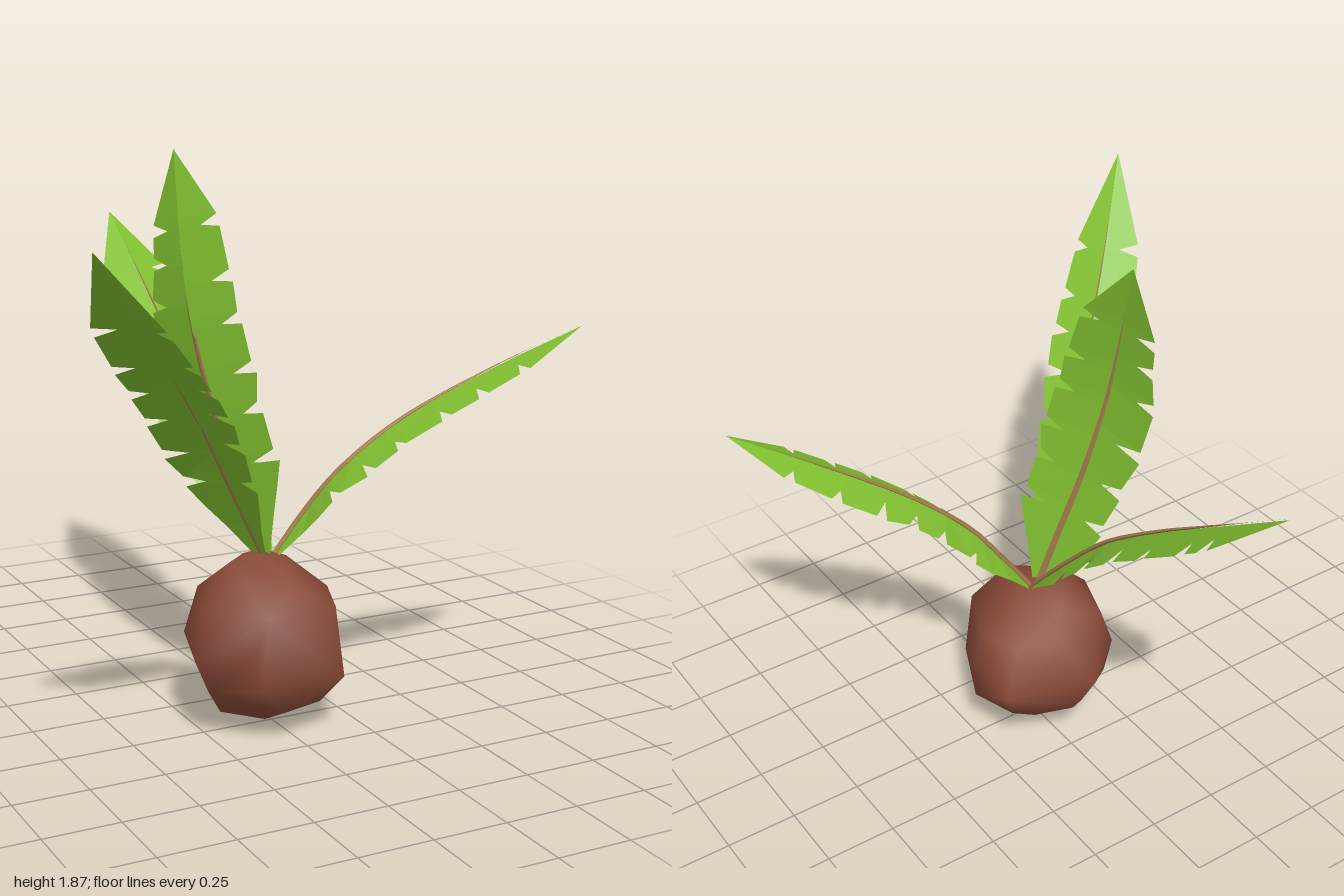
import * as THREE from 'three';
import { ConvexGeometry } from 'three/addons/geometries/ConvexGeometry.js';
import { mergeVertices } from 'three/addons/utils/BufferGeometryUtils.js';

const green = new THREE.MeshStandardMaterial({ color: 0x80be30, side: THREE.DoubleSide });
green.name = 'leaf green';
const brown = new THREE.MeshStandardMaterial({ color: 0x8a4a38 });
brown.name = 'husk brown';
const tan = new THREE.MeshStandardMaterial({ color: 0xa8804e });
tan.name = 'rib tan';

// Half width of a leaf along its length (0 = root, 1 = tip)
const PROFILE = [[0, 0.015], [0.1, 0.065], [0.2, 0.118], [0.32, 0.135], [0.6, 0.138], [0.82, 0.11], [1, 0]];
function halfWidth(t) {
  const i = Math.max(1, PROFILE.findIndex(([u]) => u >= t));
  const [t0, w0] = PROFILE[i - 1], [t1, w1] = PROFILE[i];
  return THREE.MathUtils.lerp(w0, w1, (t - t0) / (t1 - t0));
}

// Torn outline of one half: lobes separated by slanted notches, then a pointed tip
function halfOutline(rand) {
  const points = [[0, 0.015], [0.1, 0.065]];
  let t = 0.17;
  points.push([t, halfWidth(t)]);
  while (t < 0.78) {
    const next = t > 0.68 ? 0.82 : t + 0.07 + rand() * 0.06;
    const wide = 0.94 + rand() * 0.14;
    points.push([next - 0.014, halfWidth(next) * wide]);
    points.push([next - 0.006, halfWidth(next) * (0.4 + rand() * 0.25)]);
    points.push([next + 0.016, halfWidth(next) * wide * 0.95]);
    t = next + 0.016;
  }
  points.push([1, 0]);
  return points;
}

function seeded(seed) {
  return () => {
    seed = (seed * 16807) % 2147483647;
    return seed / 2147483647;
  };
}

// Roof-shaped blade: two notched halves that droop from the rib
function bladeGeometry(curve, up, scale, droop, seed) {
  const rand = seeded(seed);
  const position = [];
  const at = (t, w, side) => {
    const p = curve.getPointAt(t), tangent = curve.getTangentAt(t);
    const across = new THREE.Vector3().crossVectors(tangent, up).normalize();
    const normal = new THREE.Vector3().crossVectors(across, tangent);
    return p.addScaledVector(across, side * w * scale).addScaledVector(normal, -droop * w * scale);
  };
  for (const side of [1, -1]) {
    const outline = halfOutline(rand);
    for (let i = 1; i < outline.length; i++) {
      const [t0, w0] = outline[i - 1], [t1, w1] = outline[i];
      const r0 = at(t0, 0, side), r1 = at(t1, 0, side);
      const e0 = at(t0, w0, side), e1 = at(t1, w1, side);
      const corners = side > 0 ? [r0, e0, r1, r1, e0, e1] : [r0, r1, e0, r1, e1, e0];
      for (const c of corners) position.push(c.x, c.y, c.z);
    }
  }
  const g = new THREE.BufferGeometry();
  g.setAttribute('position', new THREE.Float32BufferAttribute(position, 3));
  g.computeVertexNormals();
  return g;
}

// Four-sided rib, narrowing to a point before the leaf tip
function ribGeometry(curve, radius) {
  const n = 20, sides = 4;
  const g = new THREE.TubeGeometry(curve, n, radius, sides);
  const pos = g.attributes.position, v = new THREE.Vector3();
  for (let i = 0; i < pos.count; i++) {
    const u = Math.floor(i / (sides + 1)) / n;
    const centre = curve.getPointAt(u);
    v.fromBufferAttribute(pos, i).sub(centre).multiplyScalar(Math.max(0.01, 1 - 1.3 * u * u)).add(centre);
    pos.setXYZ(i, v.x, v.y, v.z);
  }
  g.computeVertexNormals();
  return g;
}

// Rib path, upper-side direction, width scale, droop of the halves,
// rib radius and rib shift off the fold
const LEAVES = [
  { name: 'frontRightLeaf', up: [0, 1, 0], scale: 1.04, droop: 0.32, radius: 0.01, shift: [0.002, 0.003, -0.002], seed: 11,
    path: [[-0.03, 0.56, 0.25], [-0.18, 0.81, 0.33], [-0.32, 1.03, 0.43], [-0.5, 1.25, 0.6], [-0.7, 1.46, 0.79], [-0.91, 1.7, 1]] },
  { name: 'backLeaf', up: [0, 1, 0], scale: 1.15, droop: 0.27, radius: 0.01, shift: [0, 0.003, 0.003], seed: 202,
    path: [[-0.01, 0.56, 0.25], [-0.03, 0.78, 0.05], [-0.05, 0.96, -0.13], [-0.055, 1.17, -0.41], [-0.05, 1.3, -0.6], [-0.04, 1.57, -1]] },
  { name: 'leftLeaf', up: [0, 1, 0], scale: 0.9, droop: 0.32, radius: 0.01, shift: [-0.002, 0.004, 0], seed: 3003,
    path: [[0, 0.56, 0.25], [0.1, 0.71, 0.28], [0.2, 0.85, 0.33], [0.38, 1.01, 0.4], [0.65, 1.18, 0.52], [0.9, 1.32, 0.65]] },
  { name: 'uprightLeaf', up: [-0.9, 0, 0.43], scale: 1.28, droop: 0.2, radius: 0.016, shift: [0.006, 0, -0.003], seed: 4447,
    path: [[-0.03, 0.56, 0.25], [-0.1, 0.8, 0.21], [-0.16, 1, 0.175], [-0.225, 1.33, 0.115], [-0.235, 1.6, 0.055], [-0.22, 1.87, -0.02]] },
];

// Lumpy husk corners
const HUSK = [
  [-0.02, 0, 0.24],
  [-0.19, 0.06, 0.25], [-0.05, 0.1, 0.44], [0.1, 0.1, 0.4], [0.08, 0.09, 0.12], [-0.1, 0.1, 0.08],
  [0.24, 0.17, 0.26], [0.15, 0.2, 0.47], [-0.15, 0.2, 0.48], [-0.27, 0.17, 0.33], [-0.2, 0.2, 0.08], [0, 0.18, -0.01], [0.2, 0.19, 0.08],
  [-0.3, 0.26, 0.3], [-0.06, 0.3, -0.06], [0.23, 0.28, 0.06], [0.23, 0.3, 0.28], [-0.25, 0.3, 0.1], [-0.18, 0.3, 0.47],
  [0.2, 0.44, 0.26], [0.12, 0.44, 0.46], [-0.14, 0.44, 0.5], [-0.27, 0.44, 0.3], [-0.2, 0.45, 0.1], [0.02, 0.46, 0.02], [0.16, 0.44, 0.1],
  [0.04, 0.57, 0.27], [-0.04, 0.595, 0.24], [-0.15, 0.57, 0.25], [-0.02, 0.53, 0.44], [-0.03, 0.54, 0.1],
];

export function createModel() {
  const model = new THREE.Group();
  model.name = 'sproutingPlant';

  // Smoothly shaded low-poly husk
  const hull = new ConvexGeometry(HUSK.map((p) => new THREE.Vector3(...p)));
  hull.deleteAttribute('normal');
  const huskGeometry = mergeVertices(hull, 1e-4);
  huskGeometry.computeVertexNormals();
  const husk = new THREE.Mesh(huskGeometry, brown);
  husk.name = 'husk';
  model.add(husk);

  // Leaves, each a blade with a rib
  for (const { name, up, scale, droop, radius, shift, seed, path } of LEAVES) {
    const curve = new THREE.CatmullRomCurve3(path.map((p) => new THREE.Vector3(...p)));
    const leaf = new THREE.Group();
    leaf.name = name;
    const blade = new THREE.Mesh(bladeGeometry(curve, new THREE.Vector3(...up), scale, droop, seed), green);
    blade.name = 'blade';
    const rib = new THREE.Mesh(ribGeometry(curve, radius), tan);
    rib.name = 'rib';
    rib.position.set(...shift);
    leaf.add(blade, rib);
    model.add(leaf);
  }
  return model;
}
